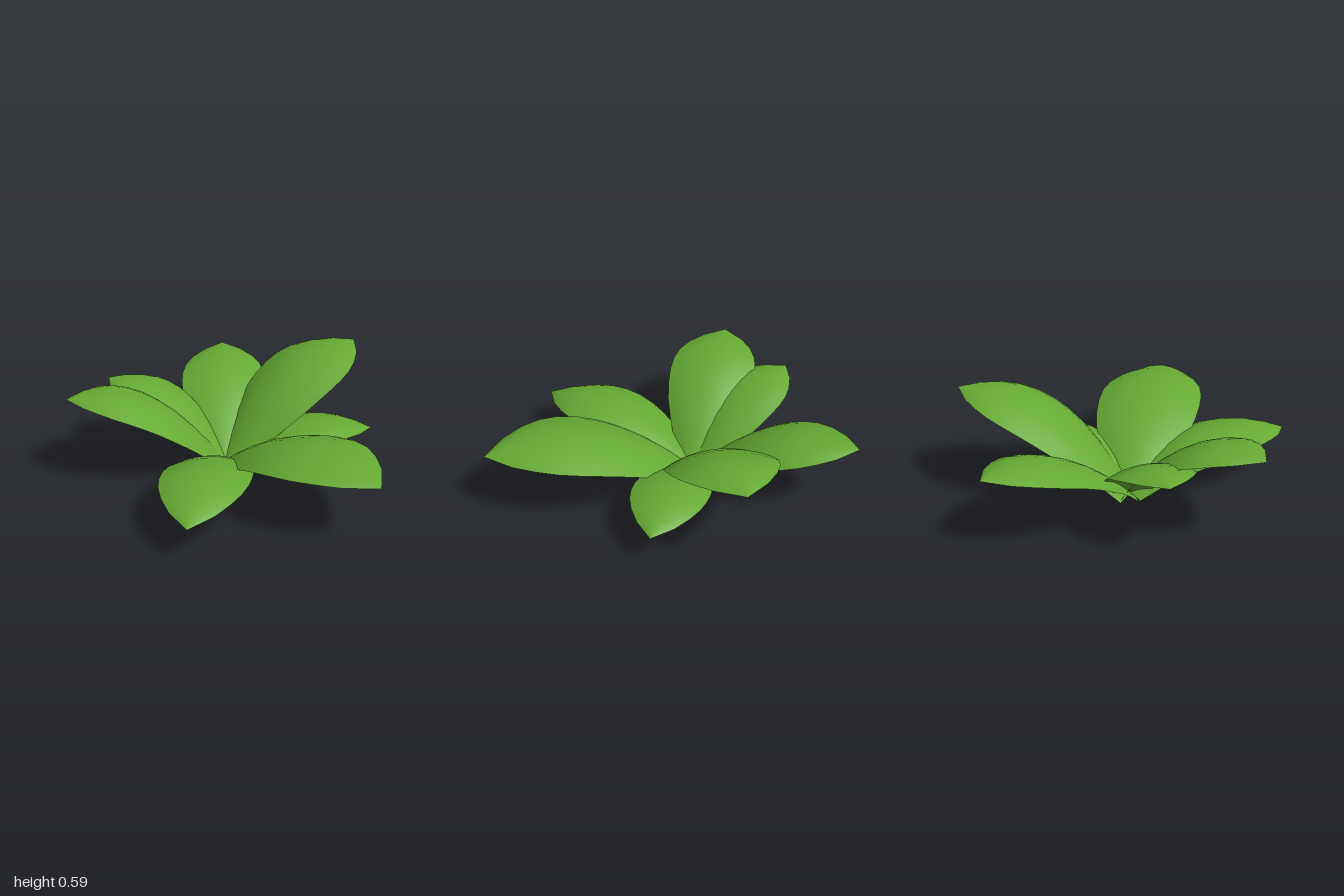
import * as THREE from 'three';

// Half-width of the largest leaf at even steps from base to tip
const HALF_WIDTHS = [0.12, 0.175, 0.235, 0.28, 0.305, 0.316, 0.312, 0.288, 0.235, 0.15, 0];
const ACROSS = 8;
const CROWN = new THREE.Vector3(-0.05, 0.025, -0.24);
const DROOP = 0.25;

// Arched blade: the midline is a parabola, each cross-section sags toward its edges
function leafGeometry({ tip, rise, peak, width }) {
  const run = new THREE.Vector3(tip[0] - CROWN.x, 0, tip[1] - CROWN.z);
  const length = run.length();
  const forward = run.clone().normalize();
  const side = new THREE.Vector3(forward.z, 0, -forward.x);
  const positions = [];
  const indices = [];
  const rows = HALF_WIDTHS.length - 1;

  for (let i = 0; i <= rows; i++) {
    const t = i / rows;
    const mid = CROWN.clone().addScaledVector(run, t);
    mid.y += rise * (1 - ((peak - t) / peak) ** 2);
    const slope = (2 * rise * (peak - t)) / (peak * peak * length);
    const normal = forward.clone().multiplyScalar(-slope);
    normal.y = 1;
    normal.normalize();
    const half = HALF_WIDTHS[i] * width;
    for (let j = 0; j <= ACROSS; j++) {
      const u = (j / ACROSS) * 2 - 1;
      const p = mid.clone()
        .addScaledVector(side, u * half)
        .addScaledVector(normal, -DROOP * half * u * u);
      positions.push(p.x, p.y, p.z);
    }
  }

  for (let i = 0; i < rows; i++) {
    for (let j = 0; j < ACROSS; j++) {
      const a = i * (ACROSS + 1) + j;
      const b = a + ACROSS + 1;
      indices.push(a, b, a + 1);
      if (i < rows - 1) indices.push(b, b + 1, a + 1);
    }
  }

  const geometry = new THREE.BufferGeometry();
  geometry.setAttribute('position', new THREE.Float32BufferAttribute(positions, 3));
  // Wind the faces so the upper side is the front
  for (let k = 0; k < indices.length; k += 3) {
    const [a, b, c] = [0, 1, 2].map((n) =>
      new THREE.Vector3().fromArray(positions, indices[k + n] * 3));
    if (b.sub(a).cross(c.sub(a)).y < 0) {
      [indices[k + 1], indices[k + 2]] = [indices[k + 2], indices[k + 1]];
    }
  }
  geometry.setIndex(indices);
  geometry.computeVertexNormals();
  return geometry;
}

export function createModel() {
  const model = new THREE.Group();
  model.name = 'leafyPlant';
  const leafGreen = new THREE.MeshStandardMaterial({ color: 0x66aa33, side: THREE.DoubleSide });
  leafGreen.name = 'leafGreen';

  // Tip position (x, z), height of the arch, where along the leaf it peaks, width scale
  const leaves = [
    { name: 'frontLeaf', tip: [-0.2, 0.99], rise: 0.41, peak: 0.71, width: 1 },
    { name: 'leftLeaf', tip: [0.95, -0.05], rise: 0.57, peak: 0.83, width: 0.96 },
    { name: 'backLeftLeaf', tip: [0.65, -0.93], rise: 0.41, peak: 0.8, width: 0.84 },
    { name: 'backLeaf', tip: [-0.29, -1], rise: 0.43, peak: 0.82, width: 0.73 },
    { name: 'backRightLeaf', tip: [-0.76, -0.81], rise: 0.51, peak: 0.8, width: 0.84 },
    { name: 'frontRightLeaf', tip: [-0.95, 0.35], rise: 0.28, peak: 0.63, width: 0.79 },
    { name: 'frontLeftLeaf', tip: [0.63, 0.34], rise: 0.24, peak: 0.64, width: 0.7 },
  ];
  for (const leaf of leaves) {
    const mesh = new THREE.Mesh(leafGeometry(leaf), leafGreen);
    mesh.name = leaf.name;
    model.add(mesh);
  }
  return model;
}
